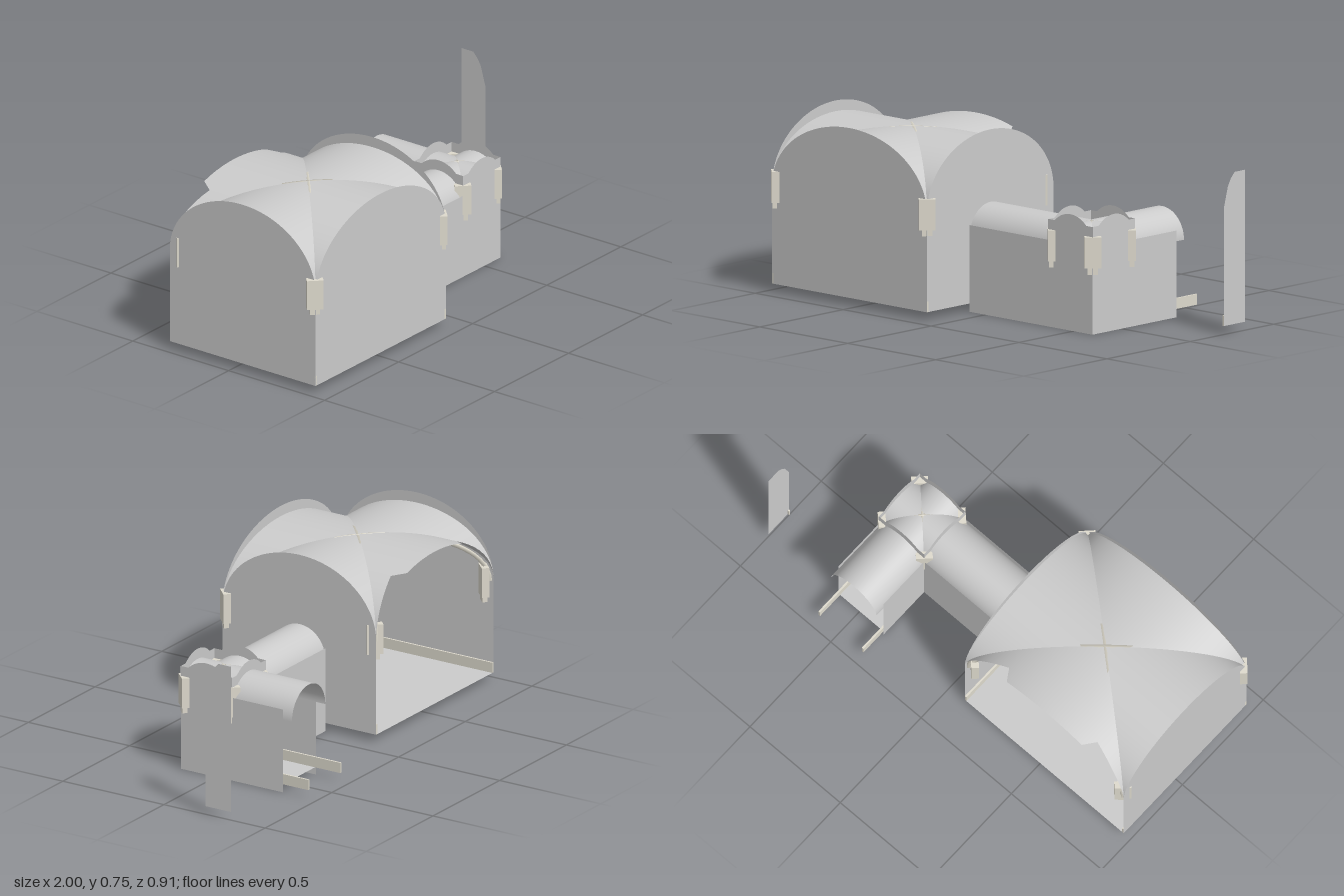
import * as THREE from 'three';

const grey = new THREE.MeshStandardMaterial({ color: 0xcccccc, side: THREE.DoubleSide });
const stone = new THREE.MeshStandardMaterial({ color: 0xdedacd, side: THREE.DoubleSide });

// Main room and small crossing: centre, half sizes, vault springing and rise
const MAIN = { x: -0.53, z: 0.05, hx: 0.44, hz: 0.38, spring: 0.45, rise: 0.255 };
const CROSS = { x: 0.484, z: 0.047, hx: 0.125, hz: 0.127, spring: 0.32, rise: 0.125 };
const FLOOR = 0.035;

export function createModel() {
  const model = new THREE.Group();
  const add = (name, geometry, material = grey, x = 0, y = 0, z = 0, turn = 0) => {
    const mesh = new THREE.Mesh(geometry, material);
    mesh.name = name;
    mesh.position.set(x, y, z);
    mesh.rotation.y = turn;
    model.add(mesh);
    return mesh;
  };
  const box = (name, x0, x1, y0, y1, z0, z1) =>
    add(name, new THREE.BoxGeometry(x1 - x0, y1 - y0, z1 - z0), stone, (x0 + x1) / 2, (y0 + y1) / 2, (z0 + z1) / 2);
  const polygon = pts => new THREE.Shape(pts.map(p => new THREE.Vector2(...p)));
  const sheet = shape => new THREE.ShapeGeometry(shape, 32);
  const floor = (name, pts) => {
    const g = sheet(polygon(pts.map(([x, z]) => [x, -z])));
    g.rotateX(-Math.PI / 2);
    add(name, g, grey, 0, FLOOR, 0);
  };
  // Rectangular wall between two plan points
  const flatWall = (name, x0, z0, x1, z1, top) => {
    const g = new THREE.PlaneGeometry(Math.hypot(x1 - x0, z1 - z0), top);
    add(name, g, grey, (x0 + x1) / 2, top / 2, (z0 + z1) / 2, Math.atan2(z0 - z1, x1 - x0));
  };

  // Wall with an elliptical top
  const lunetteWall = (half, rise) => {
    const s = new THREE.Shape();
    s.moveTo(-half, FLOOR);
    s.lineTo(half, FLOOR);
    s.lineTo(half, MAIN.spring);
    s.absellipse(0, MAIN.spring, half, rise, 0, Math.PI, false);
    s.lineTo(-half, FLOOR);
    return s;
  };
  // Round-headed opening outline
  const archPath = (path, r, bottom, spring) => {
    path.moveTo(-r, bottom);
    path.lineTo(r, bottom);
    path.lineTo(r, spring);
    path.absarc(0, spring, r, 0, Math.PI, false);
    path.lineTo(-r, bottom);
    return path;
  };

  // Groin vault of four cells; the back cell may have its corners broken away
  const groinVault = (name, v, brokenBack) => {
    const N = 32, M = 10;
    for (let side = 0; side < 4; side++) {
      const pos = [], idx = [];
      for (let i = 0; i <= N; i++) {
        // a doubled column gives the broken edge its square step
        const t = Math.sin((i / N - 0.5) * Math.PI), a = Math.abs(t);
        const end = brokenBack && side === 2 && a > 0.52 ? 0.84 + (a - 0.52) * 0.333 : 1;
        for (let j = 0; j <= M; j++) {
          const s = a + (Math.max(end, a) - a) * j / M;
          const [u, w] = [[t, s], [s, t], [t, -s], [-s, t]][side];
          pos.push(v.x + u * v.hx, v.spring + v.rise * Math.sqrt(Math.max(0, 1 - t * t)), v.z + w * v.hz);
          if (i < N && j < M) {
            const k = i * (M + 1) + j, n = k + M + 1;
            if (side === 0 || side === 3) idx.push(k, k + 1, n, n, k + 1, n + 1);
            else idx.push(k, n, k + 1, n, n + 1, k + 1);
          }
        }
      }
      const g = new THREE.BufferGeometry();
      g.setAttribute('position', new THREE.Float32BufferAttribute(pos, 3));
      g.setIndex(idx);
      g.computeVertexNormals();
      add(name, g);
    }
  };
  // Diagonal ribs under the groins
  const groinRibs = (name, v, r) => {
    for (const m of [-1, 1]) {
      const pts = [];
      for (let i = 0; i <= 24; i++) {
        const a = Math.PI * i / 24, c = 0.97 * Math.cos(a);
        pts.push(new THREE.Vector3(v.x + c * v.hx, v.spring - r * 0.7 + v.rise * Math.sin(a), v.z + m * c * v.hz));
      }
      add(name, new THREE.TubeGeometry(new THREE.CatmullRomCurve3(pts), 48, r, 4), stone);
    }
  };
  // Corner bracket set across the diagonal, with a smaller foot
  const bracket = (name, x, z, sx, sz, foot, bottom, top) => {
    const turn = Math.atan2(sx, sz);
    add(name, new THREE.BoxGeometry(0.07, top - bottom, 0.032), stone, x, (top + bottom) / 2, z, turn);
    add(name + 'Foot', new THREE.BoxGeometry(0.042, bottom - foot, 0.022), stone, x, (bottom + foot) / 2, z, turn);
  };

  // Main room
  const x0 = MAIN.x - MAIN.hx, x1 = MAIN.x + MAIN.hx, z0 = MAIN.z - MAIN.hz, z1 = MAIN.z + MAIN.hz;
  floor('mainFloor', [[x0, z0], [x1, z0], [x1, z1], [x0, z1]]);
  add('mainFrontWall', sheet(lunetteWall(MAIN.hx, 0.3)), grey, MAIN.x, 0, z1);
  add('mainOuterWall', sheet(lunetteWall(MAIN.hz, 0.3)), grey, x0, 0, MAIN.z, Math.PI / 2);
  const doorWall = lunetteWall(MAIN.hz, 0.3);
  doorWall.holes.push(archPath(new THREE.Path(), 0.115, FLOOR + 0.002, 0.31));
  add('mainDoorWall', sheet(doorWall), grey, x1, 0, MAIN.z, Math.PI / 2);
  groinVault('mainVault', MAIN, true);
  groinRibs('mainRib', MAIN, 0.012);

  // Door surround
  const surround = archPath(new THREE.Shape(), 0.137, FLOOR, 0.31);
  surround.holes.push(archPath(new THREE.Path(), 0.113, FLOOR + 0.001, 0.31));
  add('doorSurround', new THREE.ExtrudeGeometry(surround, { depth: 0.02, bevelEnabled: false, curveSegments: 24 }),
    stone, x1 - 0.021, 0, MAIN.z, Math.PI / 2);

  // Main brackets
  for (const s of [-1, 1]) {
    bracket('frontBracket', MAIN.x + s * 0.432, 0.42, s, 1, 0.355, 0.38, 0.51);
    bracket('backBracket', MAIN.x + s * 0.41, -0.302, s, -1, 0.355, 0.38, 0.51);
  }

  // Corridor, crossing and back arm
  const cx0 = CROSS.x - CROSS.hx, cx1 = CROSS.x + CROSS.hx, cz0 = CROSS.z - CROSS.hz, cz1 = CROSS.z + CROSS.hz;
  floor('passageFloor', [[x1, cz0], [cx0, cz0], [cx0, z0], [cx1, z0], [cx1, cz1], [x1, cz1]]);
  flatWall('passageFrontWall', x1, cz1, cx1, cz1, 0.365);
  flatWall('passageEndWall', cx1, cz1, cx1, z0, 0.365);
  flatWall('corridorBackWall', x1, cz0, cx0, cz0, 0.365);
  flatWall('armInnerWall', cx0, cz0, cx0, z0, 0.365);

  // Barrel vaults, axis first along z and then turned where needed
  const barrel = (name, length, x, z, turn) => {
    const g = new THREE.CylinderGeometry(0.125, 0.125, length, 32, 1, true, -Math.PI / 2, Math.PI);
    g.rotateX(-Math.PI / 2);
    add(name, g, grey, x, CROSS.spring, z, turn);
  };
  barrel('corridorVault', cx0 - x1, (x1 + cx0) / 2, CROSS.z, Math.PI / 2);
  barrel('armVault', cz0 + 0.375, CROSS.x, (cz0 - 0.375) / 2, 0);
  groinVault('crossingVault', CROSS, false);
  groinRibs('crossingRib', CROSS, 0.008);

  // Shouldered lunettes round the crossing; two are open arches
  const lunette = (open) => {
    const s = new THREE.Shape();
    s.moveTo(-0.127, 0.32);
    s.lineTo(0.127, 0.32);
    s.lineTo(0.127, 0.453);
    s.lineTo(0.09, 0.453);
    s.quadraticCurveTo(0.05, 0.49, 0, 0.49);
    s.quadraticCurveTo(-0.05, 0.49, -0.09, 0.453);
    s.lineTo(-0.127, 0.453);
    if (open) s.holes.push(archPath(new THREE.Path(), 0.118, 0.321, 0.325));
    return sheet(s);
  };
  add('frontLunette', lunette(false), grey, CROSS.x, 0, cz1);
  add('endLunette', lunette(false), grey, cx1, 0, CROSS.z, Math.PI / 2);
  add('armLunette', lunette(true), grey, CROSS.x, 0, cz0);
  add('corridorLunette', lunette(true), grey, cx0, 0, CROSS.z, Math.PI / 2);
  for (const s of [-1, 1]) for (const t of [-1, 1])
    bracket('crossingBracket', CROSS.x + s * 0.117, CROSS.z + t * 0.117, s, t, 0.252, 0.28, 0.41);

  // Skirtings
  const b = 0.08, w = 0.009;
  box('mainSkirting', x0, x1, FLOOR, b, z1 - w, z1 - 0.001);
  box('mainSkirting', x0 + 0.001, x0 + w, FLOOR, b, z0, z1);
  box('mainSkirting', x1 - w, x1 - 0.001, FLOOR, b, z0, MAIN.z - 0.137);
  box('mainSkirting', x1 - w, x1 - 0.001, FLOOR, b, MAIN.z + 0.137, z1);
  box('passageSkirting', x1, cx1, FLOOR, b, cz1 - w, cz1 - 0.001);
  box('passageSkirting', x1, cx0, FLOOR, b, cz0 + 0.001, cz0 + w);
  box('armSkirting', cx1 - w, cx1 - 0.001, FLOOR, b, -0.455, cz1);
  box('armSkirting', cx0 + 0.001, cx0 + w, FLOOR, b, -0.455, cz0);

  // Detached wall fragment with its scrap of skirting
  const fragment = polygon([[0.203, FLOOR], [0.33, FLOOR], [0.33, 0.675], [0.268, 0.675], [0.245, 0.65], [0.228, 0.62], [0.203, 0.53]]);
  add('wallFragment', sheet(fragment), grey, 0.998, 0, 0, Math.PI / 2);
  box('fragmentSkirting', 0.99, 0.998, FLOOR, b, -0.21, -0.203);

  return model;
}
